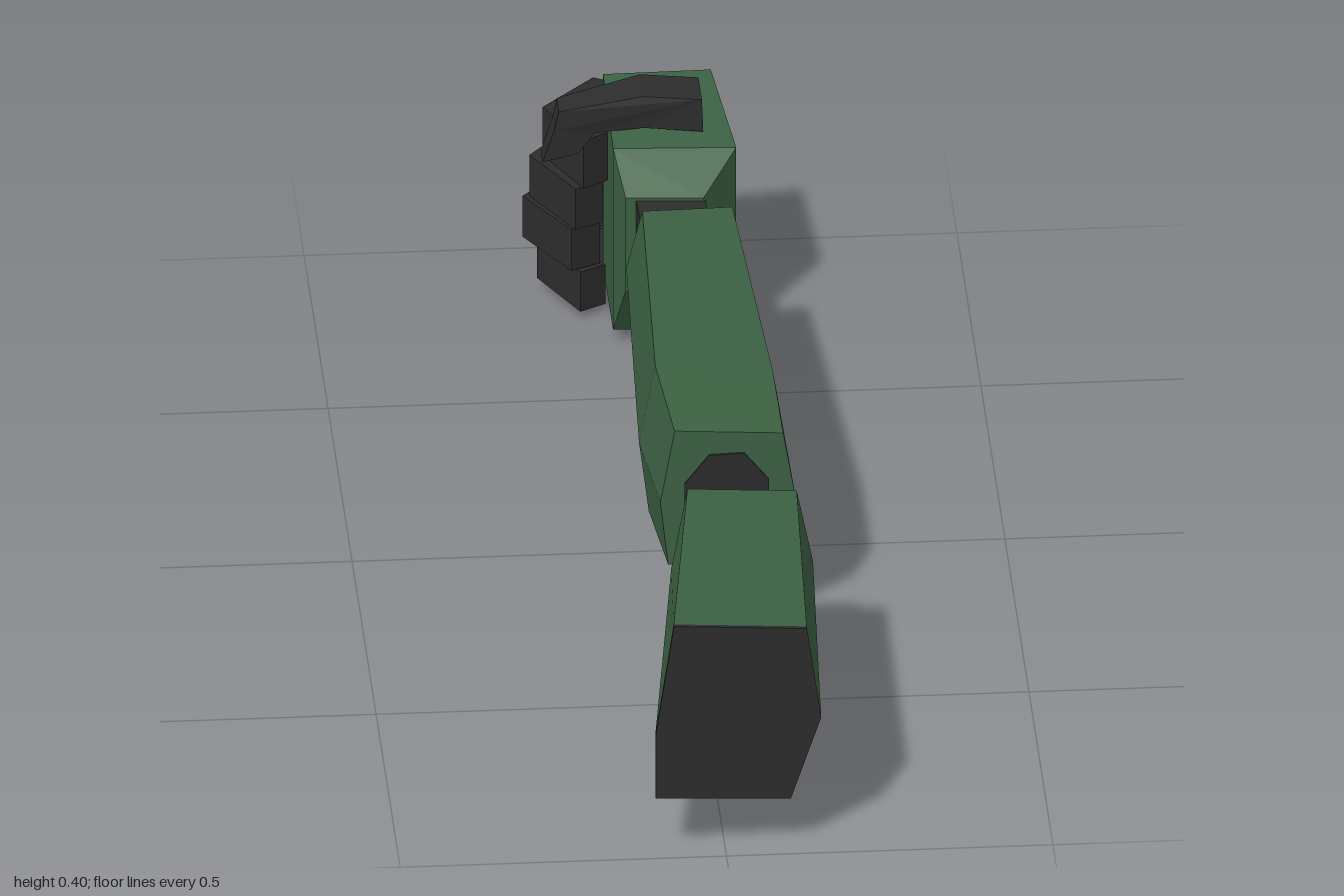
import * as THREE from 'three';

const green = new THREE.MeshStandardMaterial({ color: 0x3d6344 });
green.name = 'armour green';
const dark = new THREE.MeshStandardMaterial({ color: 0x2d2d2d });
dark.name = 'dark rubber';

// Cross-section: [x, y] points counterclockwise seen from the front, on a plane slanted along x
const section = (pts, z, slant = 0) => pts.map(([x, y]) => [x, y, z + slant * x]);

// Faceted solid through cross-sections ordered from front (+z) to back
function loft(name, material, sections) {
  const pos = [];
  const tri = (a, b, c) => pos.push(...a, ...b, ...c);
  const n = sections[0].length;
  for (let s = 0; s < sections.length - 1; s++) {
    const f = sections[s], b = sections[s + 1];
    for (let i = 0; i < n; i++) {
      const j = (i + 1) % n;
      tri(f[i], b[i], b[j]);
      tri(f[i], b[j], f[j]);
    }
  }
  const first = sections[0], last = sections[sections.length - 1];
  for (let i = 1; i < n - 1; i++) {
    tri(first[0], first[i], first[i + 1]);
    tri(last[0], last[i + 1], last[i]);
  }
  const geo = new THREE.BufferGeometry();
  geo.setAttribute('position', new THREE.Float32BufferAttribute(pos, 3));
  geo.computeVertexNormals();
  const mesh = new THREE.Mesh(geo, material);
  mesh.name = name;
  return mesh;
}

// Extruded outline whose vertices are then moved by a rule
function bar(name, outline, depth, rule) {
  const shape = new THREE.Shape(outline.map(([x, y]) => new THREE.Vector2(x, y)));
  const geo = new THREE.ExtrudeGeometry(shape, { depth, bevelEnabled: false });
  const p = geo.attributes.position;
  for (let i = 0; i < p.count; i++) p.setXYZ(i, ...rule(p.getX(i), p.getY(i), p.getZ(i)));
  geo.computeVertexNormals();
  const mesh = new THREE.Mesh(geo, dark);
  mesh.name = name;
  return mesh;
}

// Rectangle whose top and bottom fall slightly towards +x
const rect = (x0, x1, y0, y1, lean = 0.08) =>
  [[x0, y0 - lean * x0], [x1, y0 - lean * x1], [x1, y1 - lean * x1], [x0, y1 - lean * x0]];

const shrink = (pts, k, cx, cy) => pts.map(([x, y]) => [cx + (x - cx) * k, cy + (y - cy) * k]);

function upperArm() {
  const g = new THREE.Group();
  g.name = 'upperArm';
  const shoulder = [[-0.108, 0.1], [0.1, 0.083], [0.147, 0.22], [0.125, 0.375], [-0.08, 0.395], [-0.108, 0.21]];
  const elbow = [[-0.035, 0.105], [0.125, 0.092], [0.173, 0.21], [0.148, 0.333], [-0.02, 0.347], [-0.045, 0.21]];
  g.add(loft('upperArmShell', green, [
    section(shoulder, 0.98, -0.08),
    section(elbow, 0.456, -0.05),
    section(shrink(elbow, 0.85, 0.06, 0.22), 0.436, -0.05),
  ]));
  g.add(loft('shoulderCap', dark, [section(shoulder, 0.987, -0.08), section(shoulder, 0.98, -0.08)]));
  const plate = rect(-0.015, 0.122, 0.135, 0.315);
  g.add(loft('elbowPlate', dark, [section(plate, 0.45, -0.06), section(plate, 0.416, -0.06)]));
  return g;
}

function forearm() {
  const g = new THREE.Group();
  g.name = 'forearm';
  const front = [[-0.035, 0.112], [0.118, 0.098], [0.162, 0.21], [0.142, 0.328], [-0.025, 0.342], [-0.047, 0.22]];
  const bulge = [[-0.05, 0.1], [0.115, 0.088], [0.16, 0.21], [0.14, 0.335], [-0.04, 0.35], [-0.065, 0.22]];
  const wrist = [[-0.03, 0.108], [0.11, 0.094], [0.14, 0.19], [0.125, 0.282], [-0.015, 0.295], [-0.04, 0.2]];
  g.add(loft('forearmShell', green, [
    section(front, 0.257, -0.05),
    section(bulge, 0.06),
    section(wrist, -0.552, -0.2),
  ]));
  const ring = [];
  for (let i = 0; i < 8; i++) {
    const a = (i + 0.5) * Math.PI / 4;
    ring.push([0.055 + 0.07 * Math.cos(a), 0.217 + 0.088 * Math.sin(a)]);
  }
  g.add(loft('elbowSocket', dark, [section(ring, 0.26, -0.05), section(ring, 0.254, -0.05)]));
  return g;
}

function hand() {
  const g = new THREE.Group();
  g.name = 'hand';
  g.add(loft('wrist', dark, [
    section(rect(-0.015, 0.09, 0.13, 0.27), -0.5),
    section(rect(-0.02, 0.088, 0.13, 0.27), -0.66),
  ]));
  g.add(loft('palm', green, [
    section(rect(-0.035, 0.085, 0.115, 0.275), -0.628, -0.08),
    section(rect(-0.05, 0.14, 0.017, 0.33), -0.687, -0.1),
    section(rect(-0.05, 0.117, 0.014, 0.348), -0.9, -0.17),
  ]));

  // Curled fingers: outline in x and -z, stacked in height
  const curl = [[0.06, 0.91], [0.045, 0.94], [-0.07, 1.0], [-0.17, 0.865], [-0.105, 0.76],
    [-0.06, 0.79], [-0.115, 0.865], [-0.065, 0.925], [-0.02, 0.89]];
  // Name, bottom, height, sideways reach, knuckle prominence
  const fingers = [
    ['indexFinger', 0.217, 0.083, 0.85, 0.7],
    ['middleFinger', 0.145, 0.071, 0.97, 1],
    ['ringFinger', 0.074, 0.071, 1.03, 0.98],
    ['littleFinger', 0.004, 0.068, 0.9, 0.5],
  ];
  for (const [name, bottom, height, reach, knuckle] of fingers) {
    g.add(bar(name, curl, height, (x, v, d) => {
      const depth = v > 0.9 ? 0.9 + (v - 0.9) * knuckle : v;
      const nx = x < 0 ? x * reach : x;
      return [nx, bottom + d - 0.09 * nx, -depth];
    }));
  }

  // Thumb folded across the top of the fist, narrowing at the drooping tip
  const profile = [[0.092, 0.33], [0.09, 0.385], [0, 0.394], [-0.13, 0.377], [-0.137, 0.345],
    [-0.155, 0.292], [-0.1, 0.302], [-0.075, 0.335], [0, 0.34]];
  g.add(bar('thumb', profile, 1, (x, y, t) => {
    const tip = THREE.MathUtils.clamp((-x - 0.05) / 0.1, 0, 1);
    const back = -0.808 + 0.045 * tip;
    const front = -0.735 + 0.01 * tip;
    return [x, y, back + (front - back) * t];
  }));
  return g;
}

export function createModel() {
  const model = new THREE.Group();
  model.name = 'armouredArm';
  model.add(upperArm(), forearm(), hand());
  return model;
}
